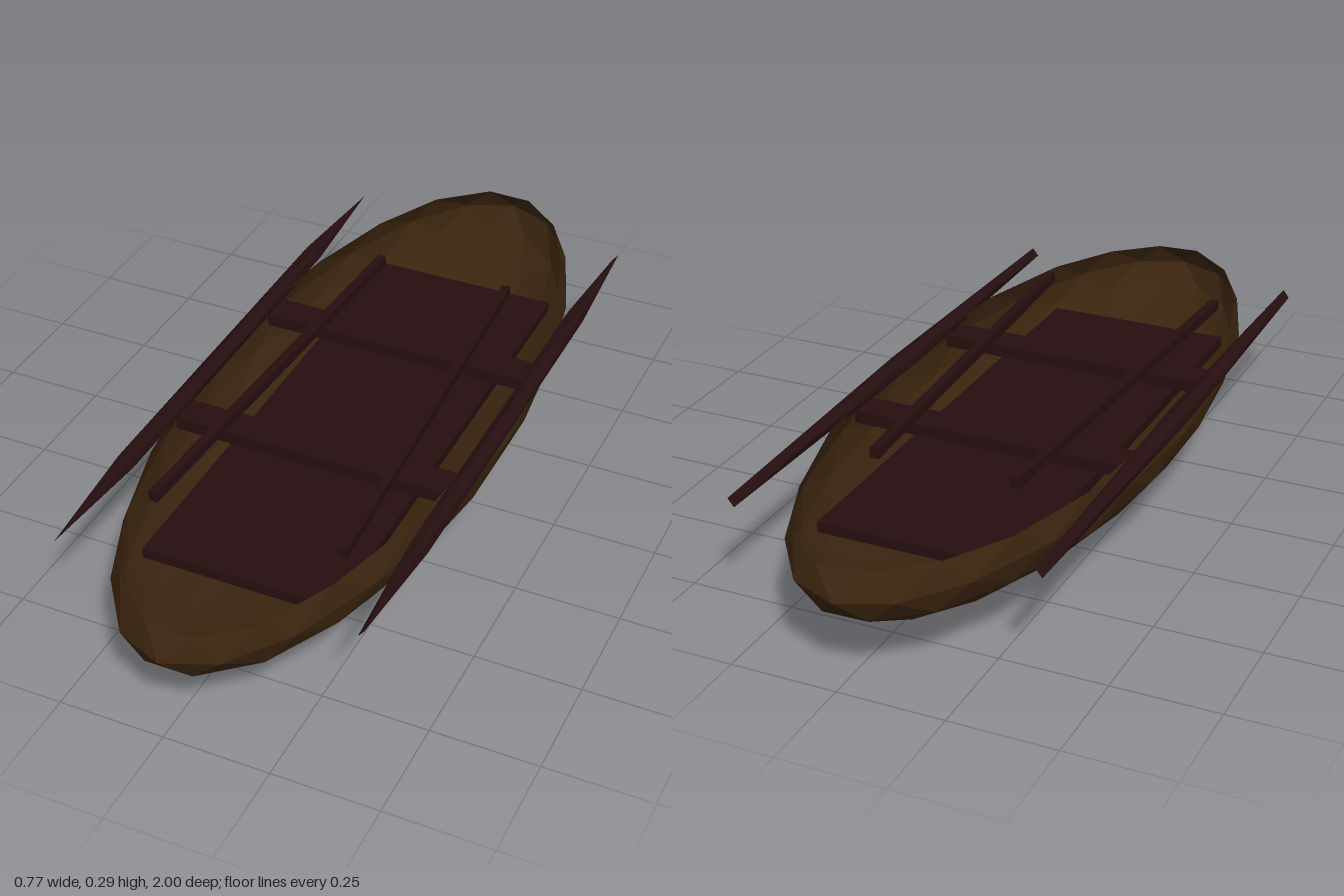
import * as THREE from 'three';

// Turns an icosahedron so that a corner points straight up
const TILT = -Math.atan(2 / (1 + Math.sqrt(5)));

export function createModel() {
  const boat = new THREE.Group();
  boat.name = 'rowingBoat';

  const hullBrown = new THREE.MeshStandardMaterial({ color: 0x3a240f, flatShading: true, side: THREE.DoubleSide });
  hullBrown.name = 'hullBrown';
  const darkWood = new THREE.MeshStandardMaterial({ color: 0x260e10, flatShading: true });
  darkWood.name = 'darkWood';

  const add = (name, geometry, material, x, y, z) => {
    const mesh = new THREE.Mesh(geometry, material);
    mesh.name = name;
    mesh.position.set(x, y, z);
    boat.add(mesh);
    return mesh;
  };

  // Hull: faceted ball with the faces above the rim left out, then stretched
  const ball = new THREE.IcosahedronGeometry(1, 3).rotateZ(TILT).getAttribute('position');
  const corners = [];
  for (let i = 0; i < ball.count; i += 3) {
    const midY = (ball.getY(i) + ball.getY(i + 1) + ball.getY(i + 2)) / 3;
    if (midY > 0.23) continue;
    for (let j = i; j < i + 3; j++) corners.push(ball.getX(j), ball.getY(j), ball.getZ(j));
  }
  const hull = new THREE.BufferGeometry();
  hull.setAttribute('position', new THREE.Float32BufferAttribute(corners, 3));
  hull.scale(0.375, 0.21, 1);
  hull.computeVertexNormals();
  add('hull', hull, hullBrown, 0, 0.21, 0);

  // Floor board inside the hull
  add('floorBoard', new THREE.BoxGeometry(0.47, 0.025, 1.3), darkWood, 0, 0.153, 0);

  // Cross benches
  add('frontBench', new THREE.BoxGeometry(0.69, 0.03, 0.08), darkWood, 0, 0.23, 0.245);
  add('backBench', new THREE.BoxGeometry(0.69, 0.03, 0.08), darkWood, 0, 0.23, -0.232);

  for (const side of [-1, 1]) {
    const label = side > 0 ? 'left' : 'right';

    // Oar laid along the boat, splayed towards the front
    const oar = add(label + 'Oar', new THREE.BoxGeometry(0.022, 0.025, 1.1), darkWood, side * 0.2, 0.277, 0.05);
    oar.rotation.y = side * 0.054;

    // Side rail: a stretched faceted ball ending in thin edges
    const rail = new THREE.IcosahedronGeometry(1, 0).rotateZ(TILT).scale(0.027, 0.0215, 0.93);
    rail.computeVertexNormals();
    add(label + 'SideRail', rail, darkWood, side * 0.361, 0.2555, 0);
  }

  return boat;
}
